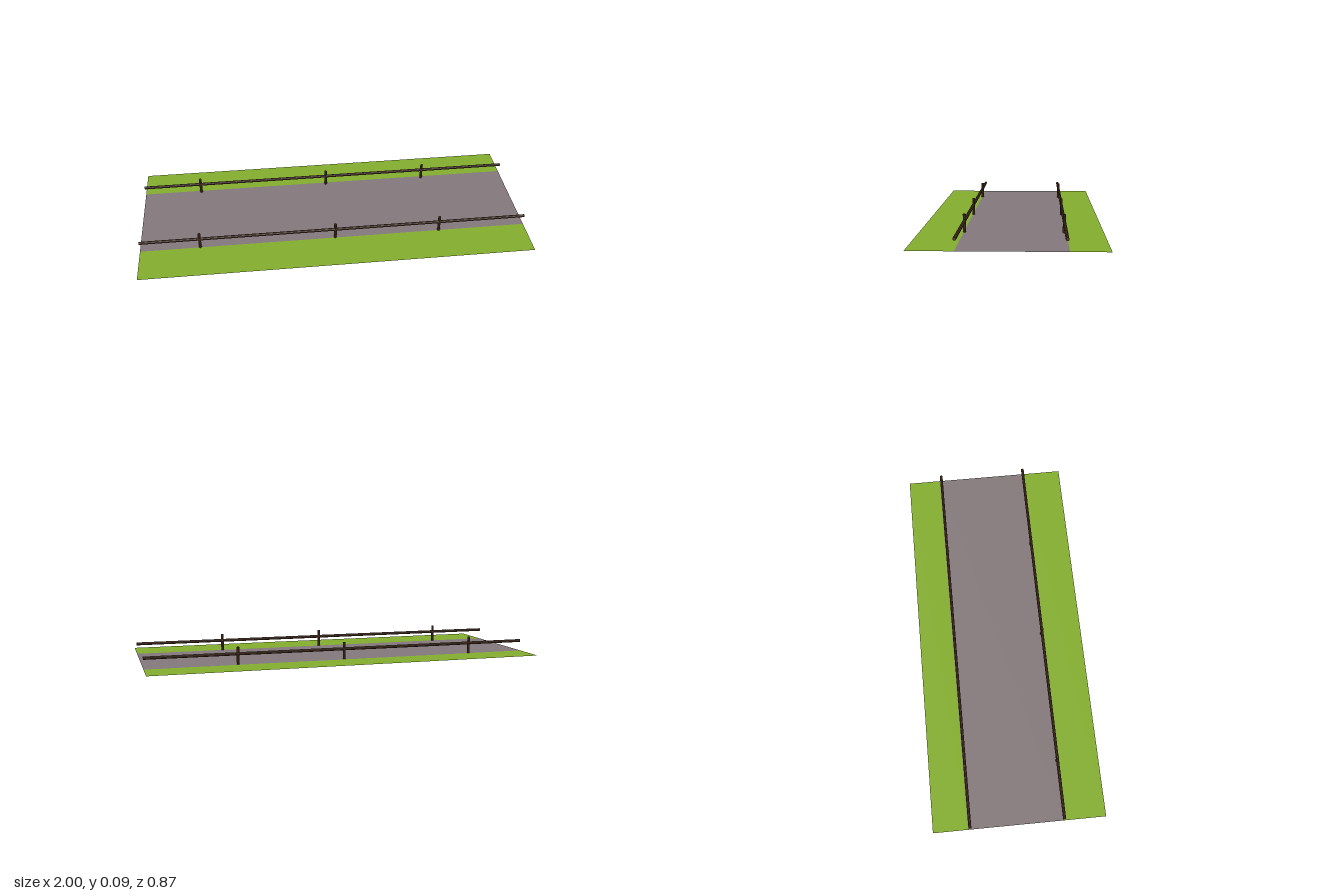
import * as THREE from 'three';

export function createModel() {
  const group = new THREE.Group();
  group.name = 'fencedRoad';

  const grass = new THREE.MeshStandardMaterial({ name: 'grassGreen', color: 0x83ad2d, side: THREE.DoubleSide });
  const road = new THREE.MeshStandardMaterial({ name: 'roadGrey', color: 0x83787b, side: THREE.DoubleSide });
  const wood = new THREE.MeshStandardMaterial({ name: 'woodBrown', color: 0x4f3423, flatShading: true });

  // Flat ground strips running along x
  const addStrip = (name, z0, z1, material) => {
    const geometry = new THREE.PlaneGeometry(2, z1 - z0).rotateX(-Math.PI / 2);
    const mesh = new THREE.Mesh(geometry, material);
    mesh.position.z = (z0 + z1) / 2;
    mesh.name = name;
    group.add(mesh);
  };
  addStrip('backGrass', -0.436, -0.26, grass);
  addStrip('road', -0.26, 0.225, road);
  addStrip('frontGrass', 0.225, 0.436, grass);

  // A fence is one long rail threaded through three round posts
  const postGeometry = new THREE.CylinderGeometry(0.0072, 0.0072, 0.087, 8);
  const railGeometry = new THREE.CylinderGeometry(0.008, 0.008, 2, 8).rotateY(Math.PI / 8).rotateZ(Math.PI / 2);
  const addFence = (name, z) => {
    const fence = new THREE.Group();
    fence.name = name;
    fence.position.z = z;
    const rail = new THREE.Mesh(railGeometry, wood);
    rail.name = 'rail';
    rail.position.y = 0.053;
    fence.add(rail);
    for (const x of [-0.695, 0, 0.545]) {
      const post = new THREE.Mesh(postGeometry, wood);
      post.name = 'post';
      post.position.set(x, 0.0435, 0);
      fence.add(post);
    }
    group.add(fence);
  };
  addFence('frontFence', 0.222);
  addFence('backFence', -0.249);

  return group;
}
